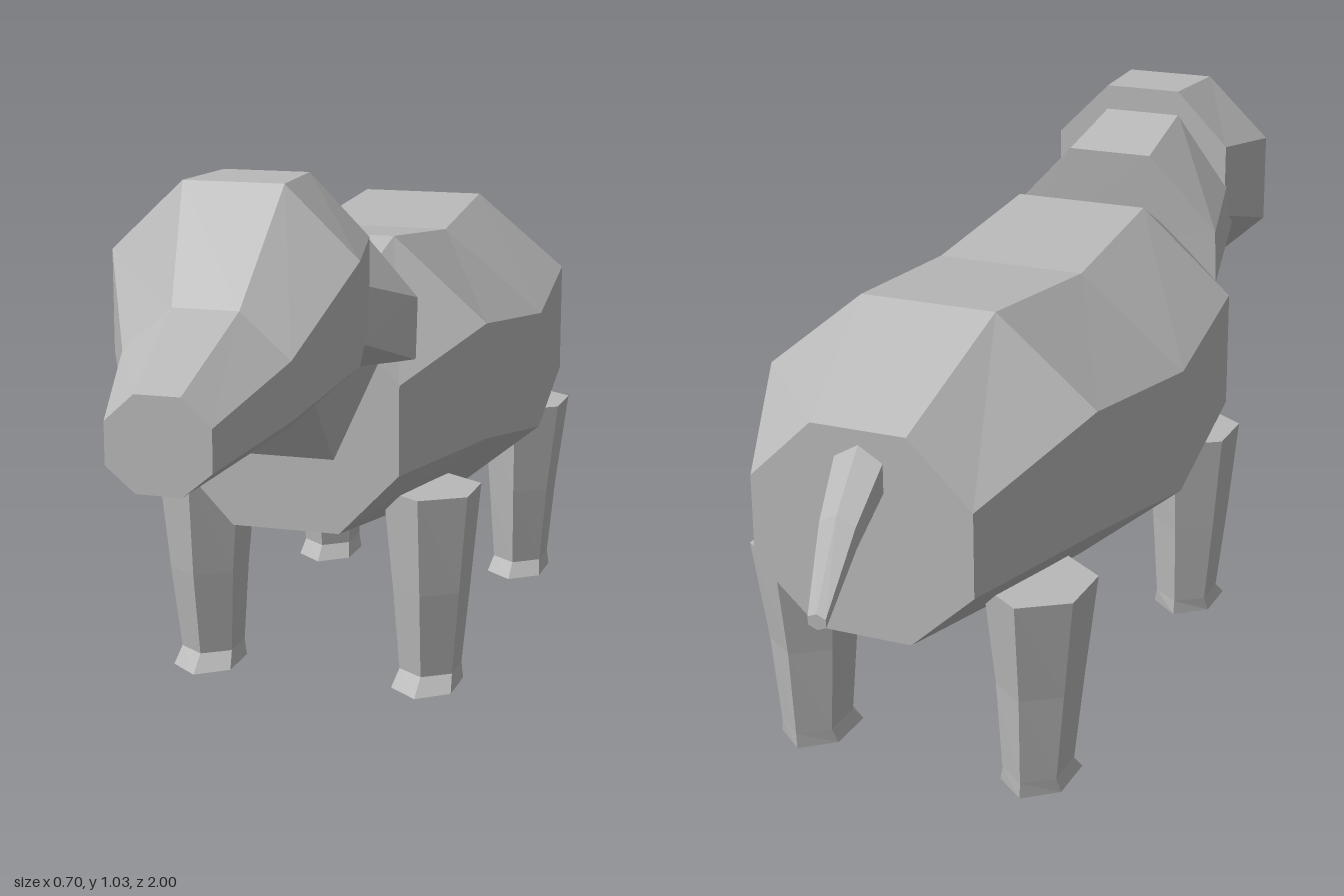
import * as THREE from 'three';

const hide = new THREE.MeshStandardMaterial({ color: 0xb8b8b8, flatShading: true });
hide.name = 'grey hide';

// Skins a list of equal-length rings and closes both ends.
function loft(name, rings) {
  const pos = [];
  const tri = (...pts) => pts.forEach((p) => pos.push(...p));
  const n = rings[0].length;
  for (let r = 0; r < rings.length - 1; r++) {
    const a = rings[r], b = rings[r + 1];
    for (let i = 0; i < n; i++) {
      const j = (i + 1) % n;
      tri(a[i], b[i], b[j]);
      tri(a[i], b[j], a[j]);
    }
  }
  const first = rings[0], last = rings[rings.length - 1];
  for (let i = 1; i < n - 1; i++) {
    tri(first[0], first[i], first[i + 1]);
    tri(last[0], last[i + 1], last[i]);
  }
  const geometry = new THREE.BufferGeometry();
  geometry.setAttribute('position', new THREE.Float32BufferAttribute(pos, 3));
  geometry.computeVertexNormals();
  const mesh = new THREE.Mesh(geometry, hide);
  mesh.name = name;
  return mesh;
}

// Eight-sided ring: half widths at top, sides and bottom, four heights and
// the z of each height.
function octagon([t, s, b], [top, upper, lower, bottom], z) {
  const [zt, zu, zl, zb] = Array.isArray(z) ? z : [z, z, z, z];
  return [
    [s, lower, zl], [s, upper, zu], [t, top, zt], [-t, top, zt],
    [-s, upper, zu], [-s, lower, zl], [-b, bottom, zb], [b, bottom, zb],
  ];
}

// Six-sided leg ring with corners pointing forward and back.
function legRing(x, y, z, rx, rz) {
  return Array.from({ length: 6 }, (_, i) => {
    const a = (i * Math.PI) / 3;
    return [x + (rx * Math.sin(a)) / Math.sin(Math.PI / 3), y, z + rz * Math.cos(a)];
  });
}

// Six-sided tail ring.
function tailRing(rx, top, zTop, bottom, zBottom) {
  return Array.from({ length: 6 }, (_, i) => {
    const a = (i * Math.PI) / 3 + Math.PI / 6;
    const k = (Math.sin(a) + 1) / 2;
    return [
      (rx * Math.cos(a)) / Math.cos(Math.PI / 6),
      bottom + (top - bottom) * k,
      zBottom + (zTop - zBottom) * k,
    ];
  });
}

export function createModel() {
  const group = new THREE.Group();
  group.name = 'animal';

  // Barrel body, chest to rump
  group.add(loft('body', [
    octagon([0.095, 0.22, 0.105], [0.755, 0.635, 0.465, 0.345], 0.385),
    octagon([0.135, 0.32, 0.135], [0.87, 0.71, 0.483, 0.32], 0.13),
    octagon([0.145, 0.35, 0.148], [0.835, 0.67, 0.43, 0.265], -0.22),
    octagon([0.13, 0.32, 0.135], [0.865, 0.71, 0.483, 0.32], -0.57),
    octagon([0.09, 0.21, 0.09], [0.725, 0.61, 0.455, 0.345], -0.84),
  ]));

  // Leaning neck collar
  group.add(loft('neck', [
    octagon([0.08, 0.19, 0.085], [0.98, 0.835, 0.74, 0.68], [0.48, 0.49, 0.53, 0.525]),
    octagon([0.088, 0.23, 0.095], [0.935, 0.785, 0.67, 0.48], [0.285, 0.3, 0.31, 0.38]),
  ]));

  // Head tapering into the snout
  group.add(loft('head', [
    octagon([0.04, 0.092, 0.04], [0.735, 0.688, 0.615, 0.572], 1.0),
    octagon([0.06, 0.15, 0.065], [0.835, 0.757, 0.655, 0.587], 0.785),
    octagon([0.092, 0.225, 0.093], [1.03, 0.905, 0.725, 0.605], 0.645),
    octagon([0.08, 0.19, 0.08], [1.03, 0.92, 0.77, 0.675], 0.475),
  ]));

  // Tail hanging behind the rump
  group.add(loft('tail', [
    tailRing(0.047, 0.71, -0.83, 0.6, -0.83),
    tailRing(0.034, 0.605, -0.92, 0.53, -0.915),
    tailRing(0.017, 0.46, -1.0, 0.43, -0.998),
  ]));

  // Legs with flared feet
  for (const side of [1, -1]) {
    const label = side > 0 ? 'left' : 'right';
    group.add(loft(label + 'FrontLeg', [
      legRing(side * 0.231, 0.395, 0.185, 0.083, 0.11),
      legRing(side * 0.231, 0.2, 0.183, 0.066, 0.093),
      legRing(side * 0.228, 0.03, 0.177, 0.053, 0.075),
      legRing(side * 0.227, 0, 0.197, 0.06, 0.097),
    ]));
    group.add(loft(label + 'BackLeg', [
      legRing(side * 0.235, 0.395, -0.618, 0.085, 0.118),
      legRing(side * 0.231, 0.2, -0.613, 0.066, 0.097),
      legRing(side * 0.228, 0.03, -0.617, 0.053, 0.083),
      legRing(side * 0.227, 0, -0.6, 0.06, 0.1),
    ]));
  }
  return group;
}
